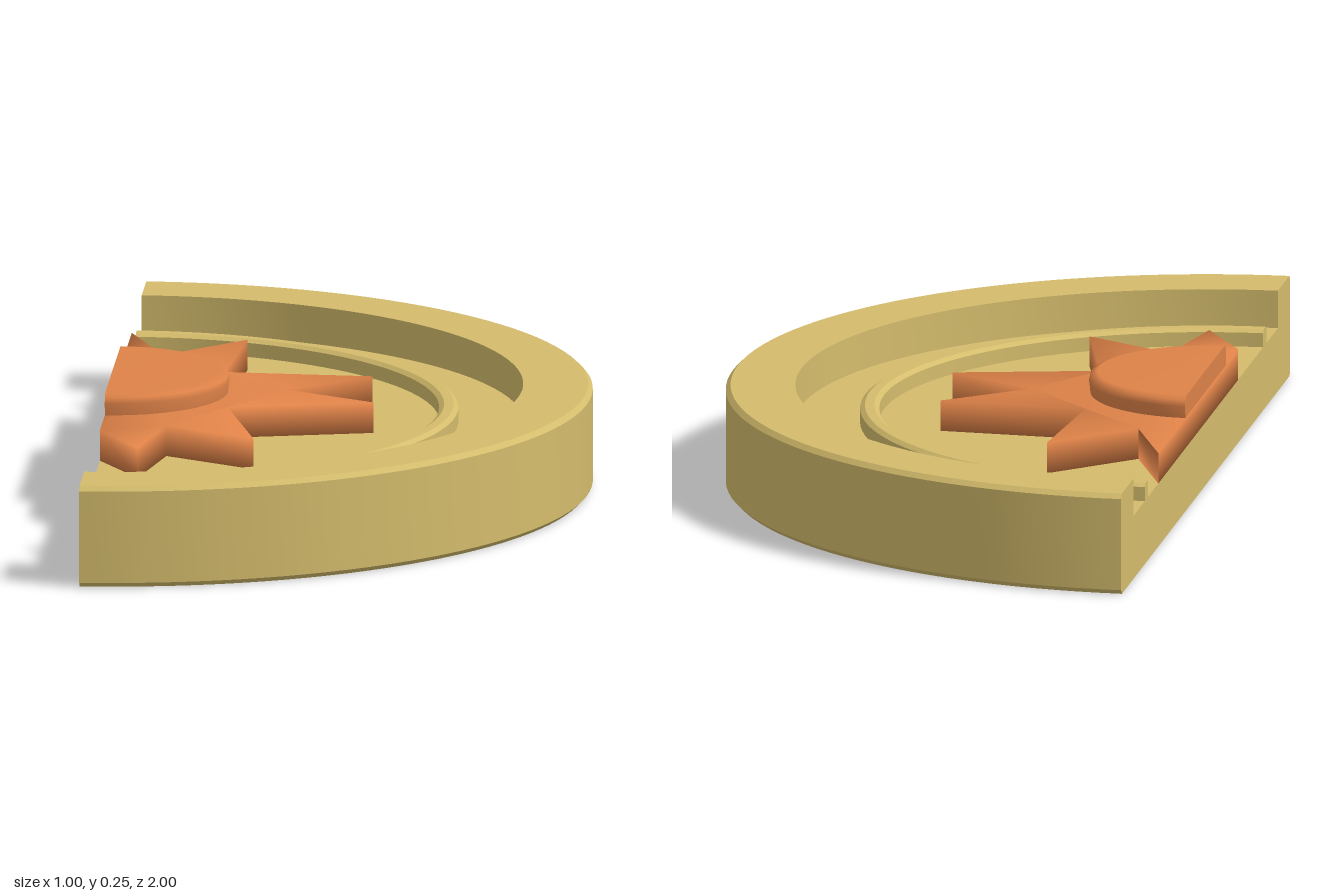
import * as THREE from 'three';
import { mergeVertices, toCreasedNormals } from 'three/addons/utils/BufferGeometryUtils.js';

const CUT = -0.5; // x of the straight cut through the disc
const FLOOR = 0.135; // height of the recessed floor
const STAR_TOP = 0.2;

// Half of a turned solid, closed by a flat face along the cut
function halfTurned(name, profile, material, crease) {
  const group = new THREE.Group();
  group.name = name;
  const points = profile.map(([r, y]) => new THREE.Vector2(r, y));
  let turned = new THREE.LatheGeometry(points, 64, 0, Math.PI);
  if (crease) turned = toCreasedNormals(turned, crease);
  const body = new THREE.Mesh(turned, material);
  body.name = name + 'Body';

  const mirrored = points.map((p) => new THREE.Vector2(-p.x, p.y)).reverse();
  const face = new THREE.ShapeGeometry(new THREE.Shape([...points, ...mirrored]));
  face.rotateY(-Math.PI / 2);
  const cutFace = new THREE.Mesh(face, material);
  cutFace.name = name + 'CutFace';

  group.add(body, cutFace);
  group.position.x = CUT;
  return group;
}

export function createModel() {
  const gold = new THREE.MeshStandardMaterial({ color: 0xd4bc6c });
  gold.name = 'gold';
  const orange = new THREE.MeshStandardMaterial({ color: 0xde8248 });
  orange.name = 'orange';

  const model = new THREE.Group();
  model.name = 'halfSunMedallion';

  // Disc with raised rim, recessed floor and thin inner ring
  model.add(halfTurned('disc', [
    [0, 0], [0.99, 0], [1, 0.01], [1, 0.205], [0.99, 0.215],
    [0.855, 0.215], [0.855, FLOOR],
    [0.72, FLOOR], [0.72, 0.165], [0.71, 0.172], [0.69, 0.172], [0.68, 0.165], [0.68, FLOOR],
    [0, FLOOR],
  ], gold, 0.5));

  // Sun rays: one outline of tips and valleys, given as x and z
  const outline = [
    [CUT, 0.385], [-0.41, 0.545], [-0.365, 0.33], [-0.175, 0.445], [-0.25, 0.145],
    [0.05, 0.077], [-0.14, -0.035], [0.03, -0.175], [-0.28, -0.195], [-0.255, -0.51],
    [-0.42, -0.35], [CUT, -0.56],
  ];
  const star = new THREE.Shape(outline.map(([x, z]) => new THREE.Vector2(x, -z)));
  let rays = new THREE.ExtrudeGeometry(star, { depth: STAR_TOP - FLOOR, bevelEnabled: false });
  rays.rotateX(-Math.PI / 2);
  rays.translate(0, FLOOR, 0);
  // Shared corners give the soft shading of a cast relief
  rays.deleteAttribute('normal');
  rays.deleteAttribute('uv');
  rays = mergeVertices(rays, 1e-4);
  rays.computeVertexNormals();
  const rayMesh = new THREE.Mesh(rays, orange);
  rayMesh.name = 'sunRays';
  model.add(rayMesh);

  // Low rounded boss in the middle of the sun
  model.add(halfTurned('sunBoss', [
    [0.24, STAR_TOP], [0.243, 0.225], [0.24, 0.238], [0.225, 0.245], [0, 0.246],
  ], orange));

  return model;
}
